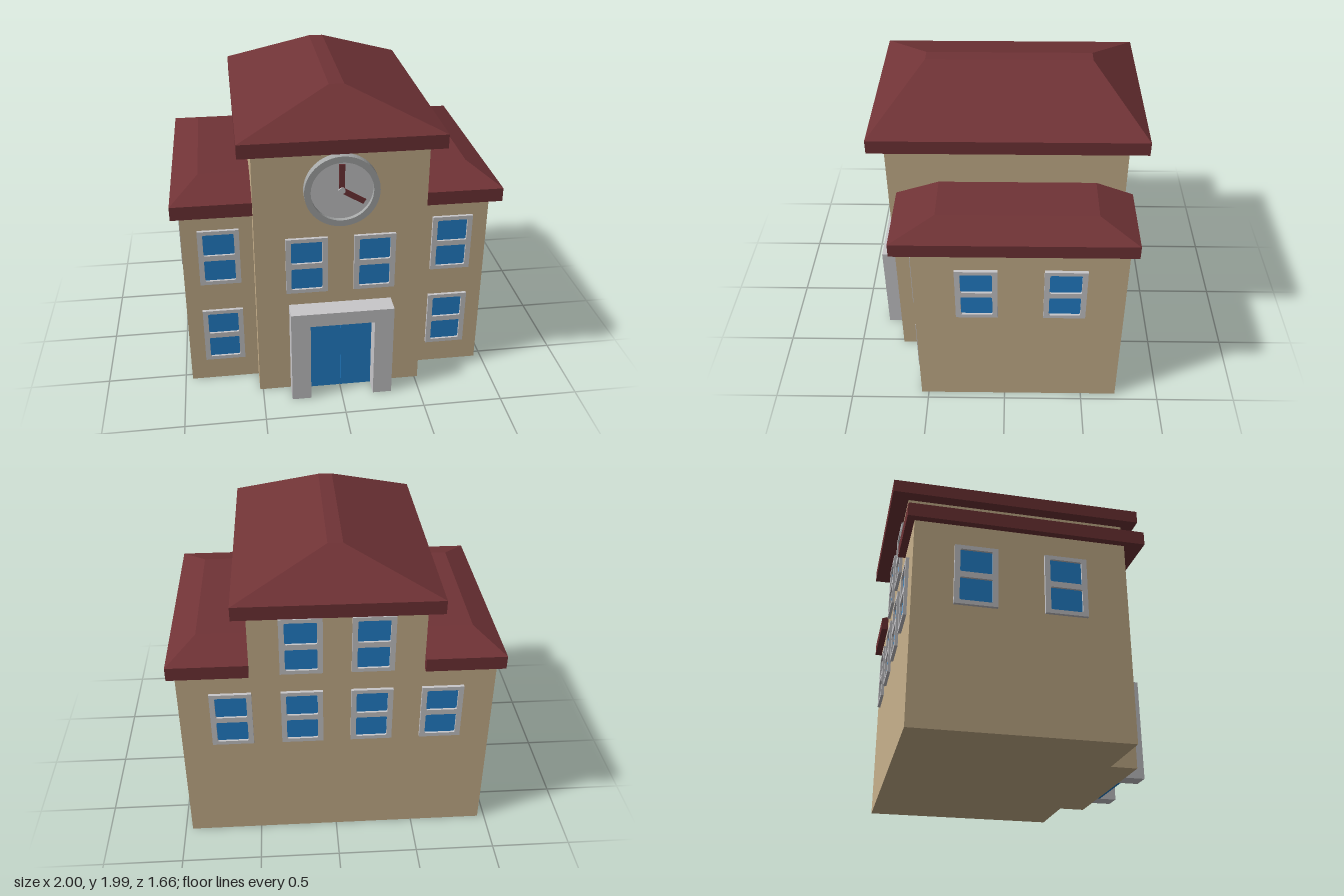
import * as THREE from 'three';

const mat = (name, color) => {
  const m = new THREE.MeshStandardMaterial({ color });
  m.name = name;
  return m;
};

export function createModel() {
  const wall = mat('sand wall', 0xc8b18c);
  const roof = mat('dark red roof', 0x703336);
  const trim = mat('light grey trim', 0xc8c7ca);
  const metal = mat('mid grey rim', 0xa6a8a8);
  const blue = mat('blue glass', 0x2381cc);

  const model = new THREE.Group();
  model.name = 'clockTowerBuilding';

  const add = (name, geo, material, parent = model) => {
    const m = new THREE.Mesh(geo, material);
    m.name = name;
    parent.add(m);
    return m;
  };

  // Box given by its limits on each axis
  const box = (name, [x0, x1], [y0, y1], [z0, z1], material, parent) => {
    const m = add(name, new THREE.BoxGeometry(x1 - x0, y1 - y0, z1 - z0), material, parent);
    m.position.set((x0 + x1) / 2, (y0 + y1) / 2, (z0 + z1) / 2);
    return m;
  };

  // Sloped roof: a box whose top corners are drawn in to a smaller rectangle
  const hip = (name, x, y, z, topX, topZ) => {
    const geo = new THREE.BoxGeometry(1, 1, 1);
    const p = geo.attributes.position;
    for (let i = 0; i < p.count; i++) {
      const top = p.getY(i) > 0;
      const ix = p.getX(i) > 0 ? 1 : 0, iz = p.getZ(i) > 0 ? 1 : 0;
      p.setXYZ(i, (top ? topX : x)[ix], y[top ? 1 : 0], (top ? topZ : z)[iz]);
    }
    geo.computeVertexNormals();
    add(name, geo, roof);
  };

  // Walls and roofs
  box('towerWalls', [-0.52, 0.52], [0, 1.68], [-0.725, 0.71], wall);
  box('towerEaves', [-0.6, 0.6], [1.68, 1.765], [-0.83, 0.8], roof);
  hip('towerRoof', [-0.6, 0.6], [1.765, 1.985], [-0.83, 0.8], [-0.045, 0.045], [-0.525, 0.49]);
  for (const s of [-1, 1]) {
    const side = s > 0 ? 'left' : 'right';
    const span = (a, b) => (s > 0 ? [a, b] : [-b, -a]);
    box(side + 'WingWalls', span(0.52, 0.955), [0, 1.25], [-0.725, 0.545], wall);
    box(side + 'WingEaves', span(0.52, 1), [1.25, 1.335], [-0.77, 0.66], roof);
    hip(side + 'WingRoof', span(0.52, 1), [1.335, 1.42], [-0.77, 0.66], span(0.52, 0.83), [-0.545, 0.4]);
  }

  // Window: a frame with two rounded openings over a thin pane
  const rect = (P, x0, y0, x1, y1) => {
    const p = new P();
    p.moveTo(x0, y0).lineTo(x1, y0).lineTo(x1, y1).lineTo(x0, y1).closePath();
    return p;
  };
  const rounded = (x0, y0, x1, y1, r) => {
    const p = new THREE.Path();
    p.moveTo(x0 + r, y0);
    p.lineTo(x1 - r, y0).quadraticCurveTo(x1, y0, x1, y0 + r);
    p.lineTo(x1, y1 - r).quadraticCurveTo(x1, y1, x1 - r, y1);
    p.lineTo(x0 + r, y1).quadraticCurveTo(x0, y1, x0, y1 - r);
    p.lineTo(x0, y0 + r).quadraticCurveTo(x0, y0, x0 + r, y0);
    return p;
  };
  const frameShape = rect(THREE.Shape, -0.127, -0.188, 0.127, 0.188);
  frameShape.holes.push(rounded(-0.095, 0.018, 0.095, 0.163, 0.01), rounded(-0.095, -0.163, 0.095, -0.018, 0.01));
  const frameGeo = new THREE.ExtrudeGeometry(frameShape, { depth: 0.02, bevelEnabled: false, curveSegments: 3 });
  const paneGeo = new THREE.BoxGeometry(0.22, 0.345, 0.006).translate(0, 0, 0.003);
  const addWindow = (name, x, y, z, turn) => {
    const g = new THREE.Group();
    g.name = name;
    add('windowFrame', frameGeo, trim, g);
    add('windowPane', paneGeo, blue, g);
    g.position.set(x, y, z);
    g.rotation.y = turn;
    model.add(g);
  };
  for (const s of [-1, 1]) {
    addWindow('wingUpperWindow', s * 0.73, 0.922, 0.545, 0);
    addWindow('wingLowerWindow', s * 0.73, 0.348, 0.545, 0);
    addWindow('towerWindow', s * 0.208, 0.922, 0.71, 0);
    addWindow('backInnerWindow', s * 0.212, 0.922, -0.725, Math.PI);
    addWindow('backOuterWindow', s * 0.64, 0.922, -0.725, Math.PI);
    addWindow('backTopWindow', s * 0.212, 1.435, -0.725, Math.PI);
    for (const z of [0.167, -0.362]) addWindow('sideWindow', s * 0.955, 0.922, z, s * Math.PI / 2);
  }

  // Entrance surround and double door
  const arch = new THREE.Shape();
  arch.moveTo(-0.32, 0);
  [[-0.2, 0], [-0.2, 0.55], [0.2, 0.55], [0.2, 0], [0.32, 0], [0.32, 0.64], [-0.32, 0.64]]
    .forEach(([x, y]) => arch.lineTo(x, y));
  arch.closePath();
  add('doorSurround', new THREE.ExtrudeGeometry(arch, { depth: 0.125, bevelEnabled: false }), trim).position.z = 0.71;
  box('doorBacking', [-0.2, 0.2], [0, 0.55], [0.71, 0.714], blue);
  box('rightDoor', [-0.2, -0.003], [0, 0.55], [0.714, 0.724], blue);
  box('leftDoor', [0.003, 0.2], [0, 0.55], [0.714, 0.724], blue);

  // Clock with raised rim, dial, hands and centre pin
  const clock = new THREE.Group();
  clock.name = 'clock';
  clock.position.set(0, 1.425, 0.71);
  model.add(clock);
  const ring = new THREE.Shape().absarc(0, 0, 0.223, 0, Math.PI * 2);
  ring.holes.push(new THREE.Path().absarc(0, 0, 0.185, 0, Math.PI * 2, true));
  add('clockRim', new THREE.ExtrudeGeometry(ring, { depth: 0.053, bevelEnabled: false, curveSegments: 32 }), metal, clock);
  add('clockDial', new THREE.CylinderGeometry(0.19, 0.19, 0.025, 48).rotateX(Math.PI / 2), trim, clock).position.z = 0.0125;
  const hand = (name, length, angle) => {
    const geo = new THREE.BoxGeometry(0.034, length, 0.008).translate(0, length / 2, 0.029);
    add(name, geo, roof, clock).rotation.z = angle;
  };
  hand('minuteHand', 0.165, 0);
  hand('hourHand', 0.157, -2.11);
  add('clockPin', new THREE.CylinderGeometry(0.02, 0.02, 0.016, 12).rotateX(Math.PI / 2), trim, clock).position.z = 0.032;

  return model;
}
